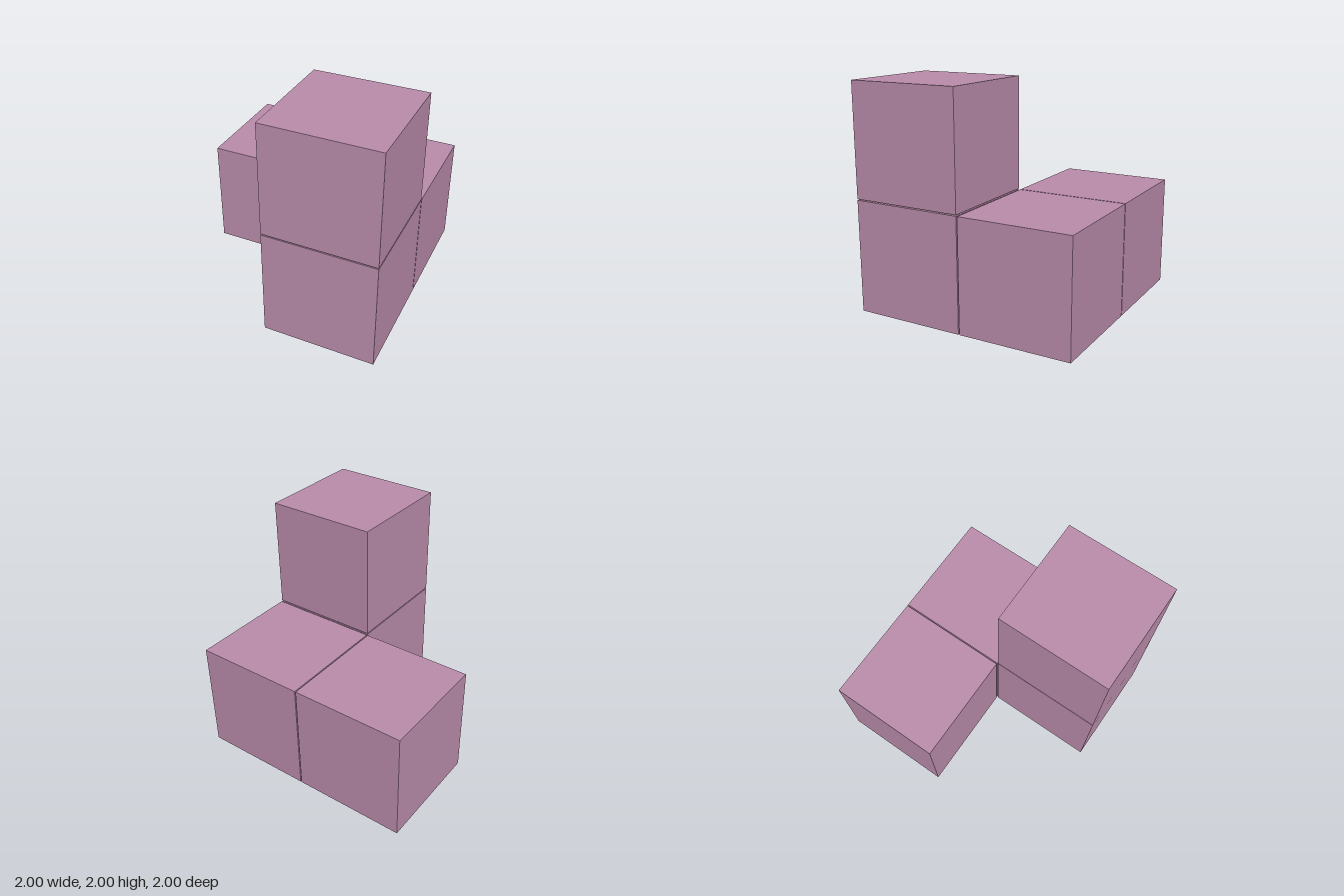
import * as THREE from 'three';

export function createModel() {
  const group = new THREE.Group();
  group.name = 'cubePiece';
  const mauve = new THREE.MeshStandardMaterial({ color: 0xba8cab });
  mauve.name = 'mauve';

  // Four equal cubes with a hairline gap between neighbours
  const size = 0.995;
  const pitch = 2 - size;
  const geometry = new THREE.BoxGeometry(size, size, size);
  const cells = {
    cornerCube: [1, 0, 0],
    frontCube: [1, 0, 1],
    upperCube: [1, 1, 1],
    sideCube: [0, 0, 0],
  };
  for (const [name, [i, j, k]] of Object.entries(cells)) {
    const cube = new THREE.Mesh(geometry, mauve);
    cube.name = name;
    cube.position.set((i - 0.5) * pitch, size / 2 + j * pitch, (k - 0.5) * pitch);
    group.add(cube);
  }
  return group;
}
